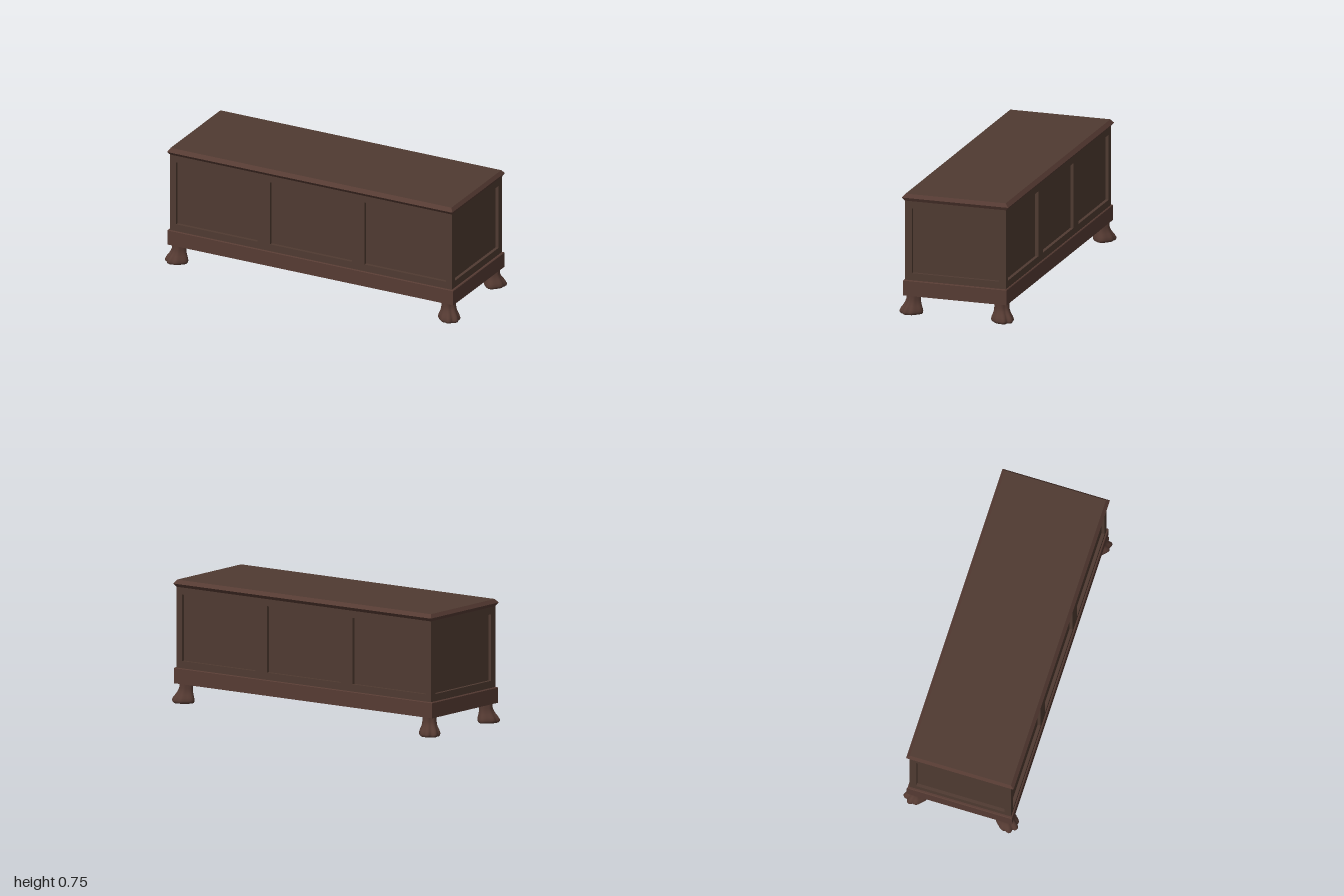
import * as THREE from 'three';

const HX = 0.958, HZ = 0.32;      // half size of the chest body
const Y0 = 0.2, Y1 = 0.71;        // bottom and top of the panelled walls
const P0 = 0.257, P1 = 0.663;     // bottom and top of the panels
const INSET = 0.02;               // panel recess depth

function named(name, geometry, material) {
  const mesh = new THREE.Mesh(geometry, material);
  mesh.name = name;
  return mesh;
}

// Stack of rectangles [y, halfX, halfZ] with flat faces; group 1 is the top cap
function rectLoft(rings) {
  const pos = [];
  const corner = ([y, hx, hz], i) => [[hx, y, hz], [hx, y, -hz], [-hx, y, -hz], [-hx, y, hz]][i % 4];
  const quad = (a, b, c, d) => pos.push(...a, ...b, ...c, ...a, ...c, ...d);
  const first = rings[0], last = rings[rings.length - 1];
  quad(corner(first, 3), corner(first, 2), corner(first, 1), corner(first, 0));
  for (let r = 0; r < rings.length - 1; r++) {
    for (let i = 0; i < 4; i++) {
      quad(corner(rings[r], i), corner(rings[r], i + 1), corner(rings[r + 1], i + 1), corner(rings[r + 1], i));
    }
  }
  const sideCount = pos.length / 3;
  quad(corner(last, 0), corner(last, 1), corner(last, 2), corner(last, 3));
  const g = new THREE.BufferGeometry();
  g.setAttribute('position', new THREE.Float32BufferAttribute(pos, 3));
  g.addGroup(0, sideCount, 0);
  g.addGroup(sideCount, 6, 1);
  g.computeVertexNormals();
  return g;
}

// Wall frame with one rectangular opening per [x0, x1] span
function frameGeometry(halfWidth, spans) {
  const rect = (T, x0, x1, y0, y1) => {
    const s = new T();
    s.moveTo(x0, y0); s.lineTo(x1, y0); s.lineTo(x1, y1); s.lineTo(x0, y1); s.closePath();
    return s;
  };
  const shape = rect(THREE.Shape, -halfWidth, halfWidth, Y0, Y1);
  for (const [a, b] of spans) shape.holes.push(rect(THREE.Path, a, b, P0, P1));
  return new THREE.ExtrudeGeometry(shape, { depth: INSET, bevelEnabled: false });
}

// Paw foot pointing along local +z: rings [y, front, back, halfWidth, toe depth]
function pawGeometry() {
  const rings = [
    [0.117, 0.042, 0.040, 0.042, 0.03],
    [0.090, 0.042, 0.038, 0.042, 0.05],
    [0.070, 0.050, 0.038, 0.044, 0.08],
    [0.052, 0.062, 0.040, 0.050, 0.11],
    [0.035, 0.076, 0.044, 0.058, 0.14],
    [0.017, 0.086, 0.047, 0.063, 0.15],
    [0.006, 0.084, 0.046, 0.060, 0.14],
    [0.000, 0.076, 0.043, 0.054, 0.12],
  ];
  const N = 48, pos = [], index = [];
  for (const [y, front, back, half, toe] of rings) {
    for (let i = 0; i < N; i++) {
      const a = (i / N) * Math.PI * 2;      // 0 is straight ahead
      const c = Math.cos(a), s = Math.sin(a);
      const ahead = Math.max(0, c);
      // four toes, separated by grooves that fade towards the heel
      const groove = 1 - toe * Math.pow(Math.abs(Math.cos(a * 4)), 4) * Math.min(1, ahead * 1.6);
      const square = 1 + 0.12 * Math.pow(Math.sin(2 * a), 2);
      const k = groove * square;
      pos.push(half * s * k, y, (c > 0 ? front : back) * c * k);
    }
  }
  for (let r = 0; r < rings.length - 1; r++) {
    for (let i = 0; i < N; i++) {
      const a = r * N + i, b = r * N + (i + 1) % N;
      index.push(a, a + N, b, b, a + N, b + N);
    }
  }
  // sole with its own vertices so its edge stays sharp
  const base = pos.length / 3;
  const lastRing = pos.slice(-N * 3);
  pos.push(...lastRing, 0, 0, 0.01);
  for (let i = 0; i < N; i++) index.push(base + N, base + (i + 1) % N, base + i);
  const g = new THREE.BufferGeometry();
  g.setAttribute('position', new THREE.Float32BufferAttribute(pos, 3));
  g.setIndex(index);
  g.computeVertexNormals();
  return g;
}

export function createModel() {
  const wood = new THREE.MeshStandardMaterial({ color: 0x4f3a31 });
  wood.name = 'brown wood';
  const trim = new THREE.MeshStandardMaterial({ color: 0x563b33 });
  trim.name = 'reddish wood';

  const chest = new THREE.Group();
  chest.name = 'chest';

  // Recessed panel faces are the sides of the inner box
  const core = named('panels', new THREE.BoxGeometry((HX - INSET) * 2, Y1 - Y0, (HZ - INSET) * 2), wood);
  core.position.y = (Y0 + Y1) / 2;
  chest.add(core);

  // Frames: three openings on the long walls, one on the ends
  const longFrame = frameGeometry(HX, [[-0.917, -0.365], [-0.278, 0.278], [0.365, 0.917]]);
  const endFrame = frameGeometry(HZ - INSET, [[-0.277, 0.277]]);
  for (const side of [1, -1]) {
    const long = named(side > 0 ? 'frontFrame' : 'backFrame', longFrame, wood);
    long.rotation.y = side > 0 ? 0 : Math.PI;
    long.position.z = side * (HZ - INSET);
    const end = named(side > 0 ? 'leftFrame' : 'rightFrame', endFrame, wood);
    end.rotation.y = side * Math.PI / 2;
    end.position.x = side * (HX - INSET);
    chest.add(long, end);
  }

  // Plinth with a slightly eased upper edge
  chest.add(named('plinth', rectLoft([
    [0.117, 0.972, 0.329], [0.209, 0.972, 0.329], [0.213, 0.968, 0.325],
  ]), [trim, trim]));

  // Lid with a pointed edge moulding
  chest.add(named('lid', rectLoft([
    [0.705, 0.957, 0.319], [0.727, 0.969, 0.338], [0.75, 0.955, 0.318],
  ]), [trim, wood]));

  // Paw feet turned out towards the corners
  const paw = pawGeometry();
  for (const sx of [1, -1]) {
    for (const sz of [1, -1]) {
      const foot = named((sz > 0 ? 'front' : 'back') + (sx > 0 ? 'Left' : 'Right') + 'Foot', paw, trim);
      foot.position.set(sx * 0.915, 0, sz * 0.279);
      foot.rotation.y = Math.atan2(sx, sz);
      chest.add(foot);
    }
  }
  return chest;
}
